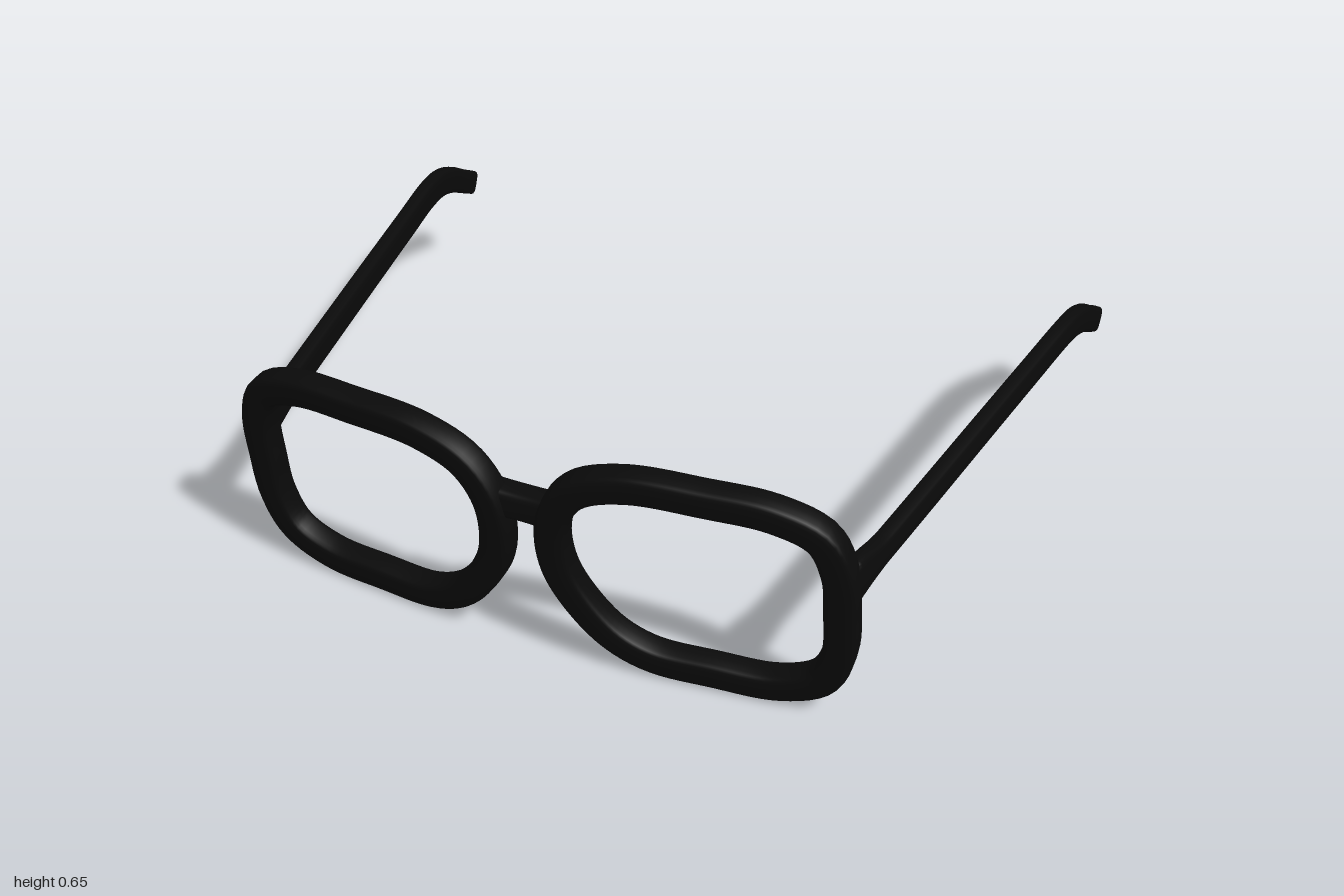
import * as THREE from 'three';

const SIDES = 20;

// Sweeps a rounded-rectangle section along a curve.
// ref fixes the section's upright axis; size(u) gives its half width and half height.
function sweep(curve, steps, ref, size, closed) {
  const pos = [], index = [];
  const addRing = (u, scale = 1, shift = 0) => {
    const t = curve.getTangentAt(u);
    const p = curve.getPointAt(u).addScaledVector(t, shift);
    const s = ref.clone().cross(t).normalize();
    const v = t.clone().cross(s);
    const [w, h] = size(u);
    for (let j = 0; j < SIDES; j++) {
      const a = (j / SIDES) * Math.PI * 2, c = Math.cos(a), d = Math.sin(a);
      const q = p.clone()
        .addScaledVector(s, scale * w * Math.sign(c) * Math.sqrt(Math.abs(c)))
        .addScaledVector(v, scale * h * Math.sign(d) * Math.sqrt(Math.abs(d)));
      pos.push(q.x, q.y, q.z);
    }
  };
  if (!closed) addRing(0, 0.75, -0.01);
  for (let i = 0; i < steps + (closed ? 0 : 1); i++) addRing(i / steps);
  if (!closed) addRing(1, 0.75, 0.01);

  const rings = pos.length / 3 / SIDES;
  for (let i = 0; i < (closed ? rings : rings - 1); i++) {
    const k = (i + 1) % rings;
    for (let j = 0; j < SIDES; j++) {
      const n = (j + 1) % SIDES;
      const a = i * SIDES + j, b = i * SIDES + n, c = k * SIDES + n, d = k * SIDES + j;
      index.push(a, b, c, a, c, d);
    }
  }
  // End caps
  if (!closed) {
    const last = (rings - 1) * SIDES;
    for (let j = 1; j < SIDES - 1; j++) {
      index.push(0, j + 1, j, last, last + j, last + j + 1);
    }
  }
  const geo = new THREE.BufferGeometry();
  geo.setAttribute('position', new THREE.Float32BufferAttribute(pos, 3));
  geo.setIndex(index);
  geo.computeVertexNormals();
  return geo;
}

// Centre line of one rim, seen from the front
const RIM = [
  [0.081, 0.45], [0.081, 0.3], [0.137, 0.177], [0.21, 0.093], [0.3, 0.05],
  [0.45, 0.044], [0.61, 0.049], [0.715, 0.1], [0.757, 0.2], [0.762, 0.33],
  [0.755, 0.46], [0.715, 0.555], [0.61, 0.598], [0.45, 0.604], [0.26, 0.598],
  [0.14, 0.55],
];

// Centre line of one arm, hinge to ear tip
const ARM = [
  [0.775, 0.415, 0.69], [0.782, 0.414, 0.63], [0.794, 0.413, 0.55],
  [0.832, 0.418, 0.3], [0.877, 0.425, 0], [0.922, 0.431, -0.3],
  [0.949, 0.434, -0.48], [0.96, 0.424, -0.57], [0.968, 0.392, -0.655],
  [0.973, 0.354, -0.72], [0.976, 0.319, -0.782],
];

export function createModel() {
  const group = new THREE.Group();
  group.name = 'glasses';
  const black = new THREE.MeshStandardMaterial({ color: 0x0a0a0a });
  black.name = 'black';
  const add = (name, geo) => {
    const mesh = new THREE.Mesh(geo, black);
    mesh.name = name;
    group.add(mesh);
  };

  for (const [side, label] of [[1, 'left'], [-1, 'right']]) {
    // Rim: lies in a plane leaning forward at the top and wrapping back at the temple
    const rim = new THREE.CatmullRomCurve3(RIM.map(([x, y]) => new THREE.Vector3(
      side * x, y, 0.72 - 0.1 * (x - 0.45) + 0.125 * (y - 0.32))), true);
    const normal = new THREE.Vector3(side * 0.1, -0.125, 1).normalize();
    add(label + 'Rim', sweep(rim, 96, normal, () => [0.041, 0.036], true));

    // Arm: flares at the hinge and drops behind the ear
    const arm = new THREE.CatmullRomCurve3(ARM.map(([x, y, z]) => new THREE.Vector3(side * x, y, z)));
    const armSize = (u) => {
      const flare = 1 - THREE.MathUtils.smoothstep(u, 0.01, 0.11);
      return [0.022, 0.041 + 0.02 * flare - 0.005 * THREE.MathUtils.smoothstep(u, 0.8, 1)];
    };
    add(label + 'Arm', sweep(arm, 80, new THREE.Vector3(0, 1, 0), armSize, false));
  }

  // Bridge: slightly thicker where it meets the rims
  const bridge = new THREE.CatmullRomCurve3([-0.08, -0.04, 0, 0.04, 0.08].map(
    (x) => new THREE.Vector3(x, 0.454, 0.758 + 0.5 * x * x)));
  const bridgeSize = (u) => [0.035, 0.039 + 0.02 * (u - 0.5) ** 2];
  add('bridge', sweep(bridge, 16, new THREE.Vector3(0, 1, 0), bridgeSize, false));

  return group;
}
